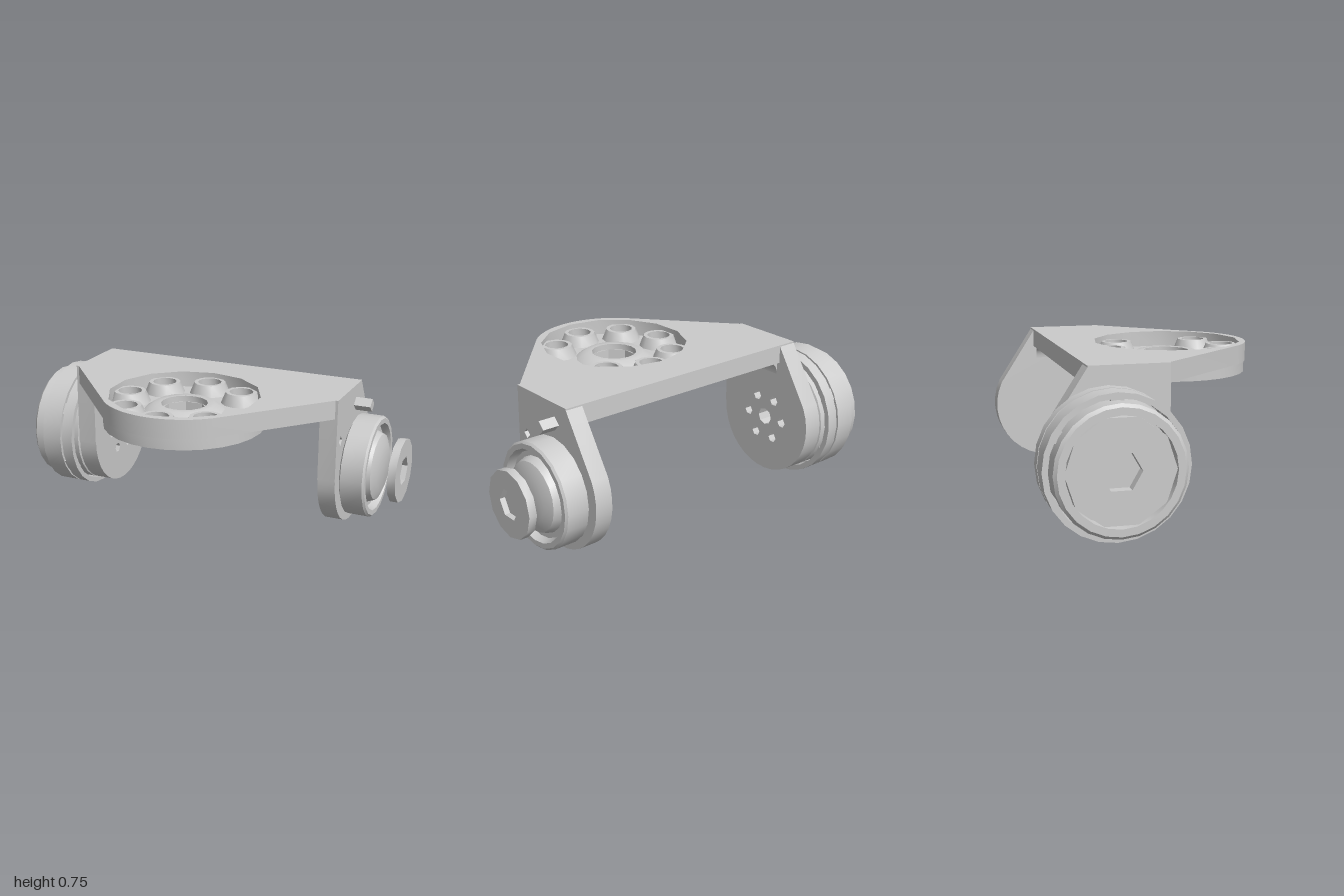
import * as THREE from 'three';
import { toCreasedNormals } from 'three/addons/utils/BufferGeometryUtils.js';

const TAU = Math.PI * 2;
const AXLE = { y: 0.34, z: -0.285 };
const HUB = { x: 0.015, z: 0.21 };
const grey = new THREE.MeshStandardMaterial({ color: 0xcccccc, side: THREE.DoubleSide });

function add(parent, name, geometry, x = 0, y = 0, z = 0) {
  const mesh = new THREE.Mesh(toCreasedNormals(geometry, 0.6), grey);
  mesh.name = name;
  mesh.position.set(x, y, z);
  parent.add(mesh);
  return mesh;
}

// Regular polygon outline
function polygon(cx, cy, r, sides, turn = 0, Type = THREE.Path) {
  const pts = [];
  for (let i = 0; i < sides; i++) {
    const a = turn + (i / sides) * TAU;
    pts.push(new THREE.Vector2(cx + r * Math.cos(a), cy + r * Math.sin(a)));
  }
  return new Type(pts);
}

const extrude = (shape, depth) =>
  new THREE.ExtrudeGeometry(shape, { depth, bevelEnabled: false, curveSegments: 10 });

// Shape drawn in (x, z), hanging down from y = 0
const slab = (shape, depth) => extrude(shape, depth).rotateX(Math.PI / 2);

// Shape drawn in (-z, y), growing along +x
const sidePlate = (shape, depth) => extrude(shape, depth).rotateY(Math.PI / 2);

const lathe = (pts, segments) =>
  new THREE.LatheGeometry(pts.map(p => new THREE.Vector2(...p)), segments);

// Profile points are (radius, x)
const latheX = (pts, segments = 24) => lathe(pts, segments).rotateZ(-Math.PI / 2);

function boltPoints() {
  const pts = [];
  for (let i = 1; i < 8; i++) {
    const a = (i / 8) * TAU;
    pts.push([HUB.x + 0.3 * Math.cos(a), HUB.z + 0.3 * Math.sin(a)]);
  }
  return pts;
}

// Tapered top plate with a pocket for the hub
function buildPlate(group) {
  const shape = new THREE.Shape();
  shape.moveTo(-0.71, -0.37);
  shape.lineTo(0.735, -0.37);
  shape.lineTo(0.735, 0);
  shape.absarc(HUB.x, HUB.z, 0.405, 0.8, Math.PI - 0.8, false);
  shape.lineTo(-0.71, 0);
  shape.closePath();
  shape.holes.push(polygon(HUB.x, HUB.z, 0.375, 14, 0.2));
  add(group, 'topPlate', slab(shape, 0.095), 0, 0.76, 0);

  // Perforated hub floor
  const floor = polygon(HUB.x, HUB.z, 0.4, 28, 0, THREE.Shape);
  floor.holes.push(polygon(HUB.x, HUB.z, 0.115, 8, Math.PI / 8));
  for (const [x, z] of boltPoints()) floor.holes.push(polygon(x, z, 0.06, 6, Math.PI / 6));
  add(group, 'hubFloor', slab(floor, 0.07), 0, 0.68, 0);

  // Sloped bosses round the bolt holes and the centre hole
  for (const [x, z] of boltPoints()) {
    add(group, 'boltBoss', lathe([[0.105, 0.675], [0.08, 0.735], [0.06, 0.735], [0.06, 0.67]], 12), x, 0, z);
  }
  add(group, 'centreBoss', lathe([[0.2, 0.678], [0.15, 0.71], [0.115, 0.71], [0.115, 0.67]], 16), HUB.x, 0, HUB.z);
  add(group, 'lowerCollar', lathe([[0.115, 0.615], [0.115, 0.57], [0.168, 0.57], [0.168, 0.615]], 24), HUB.x, 0, HUB.z);
}

// Side arm hanging to the axle, with a rounded lower end
function armShape() {
  const cu = -AXLE.z;
  const shape = new THREE.Shape();
  shape.moveTo(-0.015, 0.76);
  shape.lineTo(-0.015, AXLE.y);
  shape.absarc(cu, AXLE.y, 0.297, Math.PI, TAU + 0.45, false);
  shape.lineTo(0.365, 0.76);
  shape.closePath();
  return shape;
}

function buildArms(group) {
  const left = armShape();
  left.holes.push(polygon(0.05, 0.535, 0.025, 4));
  add(group, 'leftArm', sidePlate(left, 0.09), 0.645, 0, 0);

  const right = armShape();
  right.holes.push(polygon(-AXLE.z, AXLE.y, 0.045, 8));
  for (let i = 0; i < 6; i++) {
    const a = (i / 6) * TAU;
    right.holes.push(polygon(-AXLE.z + 0.12 * Math.cos(a), AXLE.y + 0.12 * Math.sin(a), 0.026, 6));
  }
  add(group, 'rightArm', sidePlate(right, 0.1), -0.71, 0, 0);

  // Curved fillets in the inner corners
  for (const [name, x, s] of [['leftFillet', 0.645, -1], ['rightFillet', -0.61, 1]]) {
    const f = new THREE.Shape();
    f.moveTo(x, 0.67);
    f.lineTo(x, 0.6);
    f.quadraticCurveTo(x, 0.665, x + s * 0.07, 0.667);
    f.closePath();
    add(group, name, extrude(f, 0.35), 0, 0, -0.355);
  }

  // Square locating pin
  const pin = new THREE.BoxGeometry(0.09, 0.048, 0.048).rotateX(Math.PI / 4);
  add(group, 'locatingPin', pin, 0.775, 0.662, -0.28);
}

// Motor drum outside the right arm
function buildDrum(group) {
  const drum = new THREE.Group();
  drum.name = 'drum';
  drum.position.set(0, AXLE.y, AXLE.z);
  group.add(drum);
  add(drum, 'drumBody', latheX([
    [0, -0.93], [0.25, -0.93], [0.25, -1], [0.285, -1], [0.3, -0.985],
    [0.3, -0.72], [0.27, -0.705], [0.2, -0.705]]));
  const ring = (a, b) => [[0.308, b], [0.308, a], [0.335, a], [0.335, b], [0.308, b]];
  add(drum, 'outerHoop', latheX(ring(-0.92, -0.812)));
  add(drum, 'innerHoop', latheX(ring(-0.8, -0.74)));
  for (let i = 0; i < 6; i++) {
    const a = (i / 6) * TAU;
    const tab = add(drum, 'hoopTab', new THREE.BoxGeometry(0.17, 0.035, 0.06),
      -0.83, 0.307 * Math.cos(a), 0.307 * Math.sin(a));
    tab.rotation.x = a;
  }
  const face = polygon(0, 0, 0.25, 10, 0, THREE.Shape);
  face.holes.push(polygon(0, 0, 0.095, 6));
  add(drum, 'drumFace', sidePlate(face, 0.05), -0.985, 0, 0);
}

// Idler wheel and its end cap outside the left arm
function buildWheel(group) {
  const wheel = new THREE.Group();
  wheel.name = 'idlerWheel';
  wheel.position.set(0, AXLE.y, AXLE.z);
  group.add(wheel);
  add(wheel, 'wheelBody', latheX([
    [0, 0.73], [0.22, 0.73], [0.26, 0.748], [0.26, 0.86], [0.25, 0.87], [0.225, 0.87],
    [0.21, 0.835], [0.185, 0.835], [0.17, 0.875], [0.12, 0.895], [0, 0.895]], 20));
  const cap = polygon(0, 0, 0.165, 12, 0, THREE.Shape);
  cap.holes.push(polygon(0, 0, 0.075, 6));
  add(wheel, 'endCap', sidePlate(cap, 0.04), 0.96, 0, 0);
  add(wheel, 'capFloor', sidePlate(polygon(0, 0, 0.08, 6, 0, THREE.Shape), 0.015), 0.957, 0, 0);
}

export function createModel() {
  const group = new THREE.Group();
  group.name = 'bracket';
  buildPlate(group);
  buildArms(group);
  buildDrum(group);
  buildWheel(group);
  return group;
}
